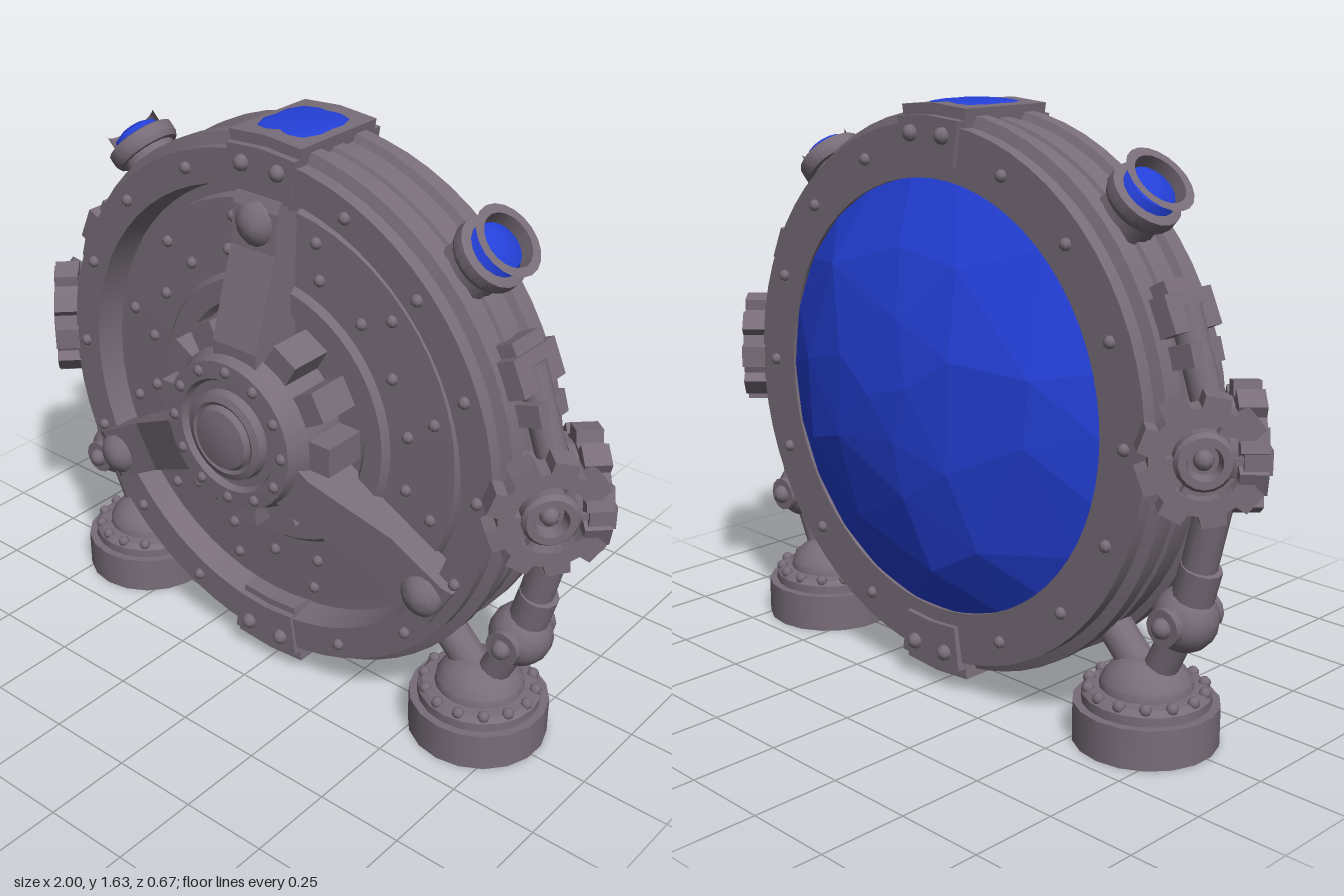
import * as THREE from 'three';
import { toCreasedNormals } from 'three/addons/utils/BufferGeometryUtils.js';
import { ConvexGeometry } from 'three/addons/geometries/ConvexGeometry.js';

const metal = new THREE.MeshStandardMaterial({ color: 0x786d79 });
metal.name = 'gunmetal';
const glass = new THREE.MeshStandardMaterial({ color: 0x2440d8 });
glass.name = 'blueGlass';

const CY = 0.83, ZC = -0.015; // ring centre height and depth
const UP = new THREE.Vector3(0, 1, 0);

function add(parent, name, geo, x = 0, y = 0, z = 0, mat = metal) {
  const m = new THREE.Mesh(geo, mat);
  m.name = name;
  m.position.set(x, y, z);
  parent.add(m);
  return m;
}
function group(parent, name, x = 0, y = 0, z = 0) {
  const g = new THREE.Group();
  g.name = name;
  g.position.set(x, y, z);
  parent.add(g);
  return g;
}
const lathe = (pts, seg) => toCreasedNormals(
  new THREE.LatheGeometry(pts.map(p => new THREE.Vector2(p[0], p[1])), seg), 0.5);
// Turned profile whose axis points to the front
const latheZ = (pts, seg) => lathe(pts, seg).rotateX(Math.PI / 2);
function extrude(pts, depth) {
  const shape = new THREE.Shape(pts.map(p => new THREE.Vector2(p[0], p[1])));
  return new THREE.ExtrudeGeometry(shape, { depth, bevelEnabled: false });
}
function rod(parent, name, a, b, r) {
  const A = new THREE.Vector3(...a), B = new THREE.Vector3(...b);
  const m = add(parent, name, new THREE.CylinderGeometry(r, r, A.distanceTo(B), 12));
  m.position.copy(A).add(B).multiplyScalar(0.5);
  m.quaternion.setFromUnitVectors(UP, B.sub(A).normalize());
}
const rivetGeo = new THREE.SphereGeometry(0.017, 8, 6);
function rivets(parent, name, count, r, z, start = 0, skip = () => false) {
  const g = group(parent, name);
  for (let i = 0; i < count; i++) {
    const a = start + i * Math.PI * 2 / count;
    if (!skip(a)) add(g, 'rivet', rivetGeo, r * Math.cos(a), r * Math.sin(a), z);
  }
}

// Toothed wheel facing +z, with hollow face and central bolt
function gear() {
  const g = new THREE.Group();
  const pts = [], n = 9, step = Math.PI * 2 / n;
  for (let i = 0; i < n; i++)
    for (const [o, r] of [[-0.27, 0.165], [0.27, 0.165], [0.36, 0.135], [0.64, 0.135]])
      pts.push([r * Math.cos((i + o) * step), r * Math.sin((i + o) * step)]);
  const shape = new THREE.Shape(pts.map(p => new THREE.Vector2(...p)));
  shape.holes.push(new THREE.Path().absarc(0, 0, 0.095, 0, Math.PI * 2, true));
  add(g, 'gearTeeth', new THREE.ExtrudeGeometry(shape, { depth: 0.07, bevelEnabled: false, curveSegments: 16 }), 0, 0, -0.07);
  add(g, 'gearBack', new THREE.CylinderGeometry(0.125, 0.125, 0.05, 18).rotateX(Math.PI / 2), 0, 0, -0.065);
  add(g, 'gearBoss', latheZ([[0.075, -0.04], [0.075, -0.005], [0.065, 0.008], [0.045, 0.008], [0.038, -0.03]], 18));
  add(g, 'gearBolt', new THREE.SphereGeometry(0.026, 10, 6), 0, 0, -0.025);
  for (let i = 0; i < 6; i++) {
    const s = add(g, 'gearSpoke', new THREE.BoxGeometry(0.03, 0.016, 0.03), 0.085 * Math.cos(i * Math.PI / 3), 0.085 * Math.sin(i * Math.PI / 3), -0.025);
    s.rotation.z = i * Math.PI / 3;
  }
  return g;
}

// Open-ended lamp pointing +y
function lamp() {
  const g = new THREE.Group();
  add(g, 'lampStem', new THREE.CylinderGeometry(0.075, 0.085, 0.12, 16), 0, -0.14, 0);
  add(g, 'lampCollar', lathe([[0.07, -0.1], [0.092, -0.1], [0.1, -0.085], [0.1, -0.055], [0.09, -0.05], [0, -0.05]], 20));
  add(g, 'lampRim', lathe([[0.1, 0], [0.075, 0], [0.075, -0.05]], 20));
  add(g, 'lampLens', lathe([[0.075, -0.05], [0.065, -0.03], [0.04, -0.018], [0, -0.012]], 16), 0, 0, 0, glass);
  return g;
}

// One side: gears, braces, leg and foot, pointing +x
function side(parent, name) {
  const g = group(parent, name, 0, 0, ZC);
  const core = add(g, 'gearMount', new THREE.BoxGeometry(0.2, 0.22, 0.2), 0.79, CY, 0);
  core.rotation.y = Math.PI / 4;
  for (const s of [1, -1]) {
    const w = gear();
    w.name = 'gear';
    w.position.set(0.885, CY, s * 0.108);
    w.rotation.y = s > 0 ? Math.PI / 4 : Math.PI * 3 / 4;
    g.add(w);
  }
  rod(g, 'upperPipe', [0.81, 0.93, 0], [0.725, 1.17, 0], 0.042);
  for (const [a, len, dep, r] of [[0.42, 0.1, 0.18, 0.79], [0.29, 0.06, 0.12, 0.8], [0.5, 0.04, 0.12, 0.78]]) {
    const b = add(g, 'braceBlock', new THREE.BoxGeometry(0.07, len, dep), r * Math.cos(a), CY + r * Math.sin(a), 0);
    b.rotation.z = a;
  }
  rod(g, 'upperLeg', [0.84, 0.7, 0], [0.765, 0.38, 0], 0.047);
  rod(g, 'legSleeve', [0.805, 0.52, 0], [0.775, 0.41, 0], 0.055);
  add(g, 'kneeJoint', new THREE.SphereGeometry(0.088, 16, 10), 0.76, 0.37, 0);
  rod(g, 'kneePin', [0.76, 0.37, -0.095], [0.76, 0.37, 0.095], 0.05);
  for (const s of [1, -1]) add(g, 'kneeBolt', new THREE.SphereGeometry(0.028, 10, 6), 0.76, 0.37, s * 0.095);
  rod(g, 'lowerLeg', [0.75, 0.35, 0], [0.67, 0.18, 0], 0.045);
  rod(g, 'innerStrut', [0.63, 0.18, 0], [0.48, 0.33, 0], 0.05);
  add(g, 'footPad', new THREE.CylinderGeometry(0.195, 0.195, 0.11, 18), 0.64, 0.055, 0);
  add(g, 'footCap', lathe([[0.172, 0.105], [0.172, 0.135], [0.158, 0.148], [0.125, 0.15], [0.122, 0.17],
    [0.1, 0.2], [0.065, 0.225], [0, 0.235]], 20), 0.64, 0, 0);
  for (let i = 0; i < 14; i++) {
    const a = i * Math.PI / 7;
    add(g, 'footRivet', rivetGeo, 0.64 + 0.155 * Math.cos(a), 0.148, 0.155 * Math.sin(a));
  }
  const l = lamp();
  l.name = 'sideLamp';
  l.position.set(0.64, 1.47, 0);
  l.rotation.z = -Math.PI / 4;
  g.add(l);
  return g;
}

// Clamp wrapping the ring, centred on +y of its group
function clamp(parent, name) {
  const g = group(parent, name, 0, CY, 0);
  const sector = (r0, r1, h) => {
    const pts = [];
    for (const t of [1, 0, -1]) pts.push([r0 * Math.sin(t * h), r0 * Math.cos(t * h)]);
    for (const t of [-1, 0, 1]) pts.push([r1 * Math.sin(t * h), r1 * Math.cos(t * h)]);
    return pts.reverse();
  };
  add(g, 'clampBody', extrude(sector(0.62, 0.795, 0.152), 0.3), 0, 0, -0.165);
  add(g, 'clampCheeks', extrude(sector(0.64, 0.765, 0.15), 0.345), 0, 0, -0.19);
  for (const x of [-0.06, 0.06]) for (const z of [0.157, -0.192])
    add(g, 'clampBolt', new THREE.SphereGeometry(0.023, 10, 6), x, 0.715, z);
  return g;
}

export function createModel() {
  const model = new THREE.Group();
  model.name = 'portalDevice';
  const body = group(model, 'body', 0, CY, 0);

  // Main ring with stepped outer bands
  add(body, 'ring', latheZ([[0.6, -0.175], [0.745, -0.175], [0.745, -0.135], [0.775, -0.125], [0.775, -0.085],
    [0.755, -0.075], [0.755, -0.04], [0.765, -0.035], [0.765, 0.005], [0.755, 0.01], [0.755, 0.045], [0.775, 0.055],
    [0.775, 0.095], [0.745, 0.105], [0.745, 0.145], [0.65, 0.145], [0.635, 0.06], [0.6, 0.06], [0.6, -0.175]], 64));
  const nearClamp = a => Math.abs(Math.cos(a)) < 0.1;
  rivets(body, 'frontRingRivets', 16, 0.7, 0.147, 0, nearClamp);
  rivets(body, 'backRingRivets', 16, 0.68, -0.177, 0, nearClamp);

  // Recessed front panel
  add(body, 'frontPanel', latheZ([[0.62, 0.055], [0.605, 0.06], [0.6, 0.1], [0.4, 0.107], [0.385, 0.125],
    [0.325, 0.125], [0.31, 0.108], [0, 0.108]], 56));
  rivets(body, 'panelRivets', 18, 0.46, 0.106, Math.PI / 18);
  rivets(body, 'panelEdgeRivets', 12, 0.55, 0.102, Math.PI / 12);

  // Hub with cogs
  add(body, 'hub', latheZ([[0.235, 0.1], [0.235, 0.24], [0.222, 0.265], [0.215, 0.3], [0.165, 0.302], [0.155, 0.285],
    [0.13, 0.285], [0.125, 0.31], [0.105, 0.318], [0.095, 0.312], [0.085, 0.327], [0.05, 0.334], [0, 0.336]], 32));
  rivets(body, 'hubRivets', 12, 0.19, 0.298);
  for (let i = 0; i < 12; i++) {
    const a = i * Math.PI / 6;
    if (i % 4 === 3 || i % 2 === 1 && i !== 1 && i !== 5 && i !== 9) continue;
    const onArm = Math.abs(Math.sin(3 * a) + 1) < 0.01 && i !== 9;
    if (onArm) continue;
    const c = add(body, 'hubCog', new THREE.BoxGeometry(0.1, 0.085, 0.13), 0.25 * Math.cos(a), 0.25 * Math.sin(a), 0.172);
    c.rotation.z = a;
  }
  add(body, 'hubCog', new THREE.BoxGeometry(0.085, 0.1, 0.13), 0, -0.25, 0.172);

  // Three sloping arms
  [[Math.PI / 2, 0.64, 0.57], [Math.PI * 7 / 6, 0.71, 0.65], [-Math.PI / 6, 0.71, 0.65]].forEach(([a, len, bolt]) => {
    const g = group(body, 'arm');
    g.rotation.z = a;
    add(g, 'armBeam', extrude([[0.15, 0.09], [len, 0.09], [len, 0.16], [len - 0.03, 0.175], [0.5, 0.185],
      [0.25, 0.265], [0.15, 0.265]], 0.15).rotateX(Math.PI / 2), 0, 0.075, 0);
    add(g, 'armBolt', latheZ([[0.06, 0.15], [0.06, 0.185], [0.045, 0.2], [0.025, 0.212], [0, 0.216]], 14), bolt, 0, 0);
  });

  // Faceted glass dome at the back
  const pts = [];
  for (const [r, z, n, o] of [[0.605, -0.165, 22, 0], [0.44, -0.262, 10, 0.2], [0.25, -0.315, 6, 0.5], [0.09, -0.336, 3, 0.3]])
    for (let i = 0; i < n; i++) {
      const a = o + i * Math.PI * 2 / n + (n < 20 ? 0.12 * Math.sin(i * 2.7 + n) : 0);
      const k = n < 20 ? 1 + 0.05 * Math.sin(i * 4.1 + n) : 1;
      pts.push(new THREE.Vector3(r * k * Math.cos(a), r * k * Math.sin(a), z));
    }
  add(body, 'glassDome', new ConvexGeometry(pts), 0, 0, 0, glass);

  // Clamps, with a glass cushion on the top one and a plate underneath
  const top = clamp(model, 'topClamp');
  const lens = new THREE.SphereGeometry(0.1, 16, 8, 0, Math.PI * 2, 0, Math.PI / 2).scale(0.92, 0.1, 1.08);
  const p = lens.attributes.position;
  for (let i = 0; i < p.count; i++) { // square off the outline
    const x = p.getX(i), z = p.getZ(i), l = Math.hypot(x, z) || 1;
    const k = 1 + 0.8 * (x * z / (l * l)) ** 2;
    p.setXYZ(i, x * k, p.getY(i), z * k);
  }
  lens.computeVertexNormals();
  add(top, 'topLens', lens, 0, 0.79, ZC, glass);
  const bottom = clamp(model, 'bottomClamp');
  bottom.rotation.z = Math.PI;
  add(bottom, 'clampPlate', new THREE.BoxGeometry(0.15, 0.02, 0.2), 0, 0.785, ZC);

  side(model, 'leftSide');
  side(model, 'rightSide').rotation.y = Math.PI;
  return model;
}
